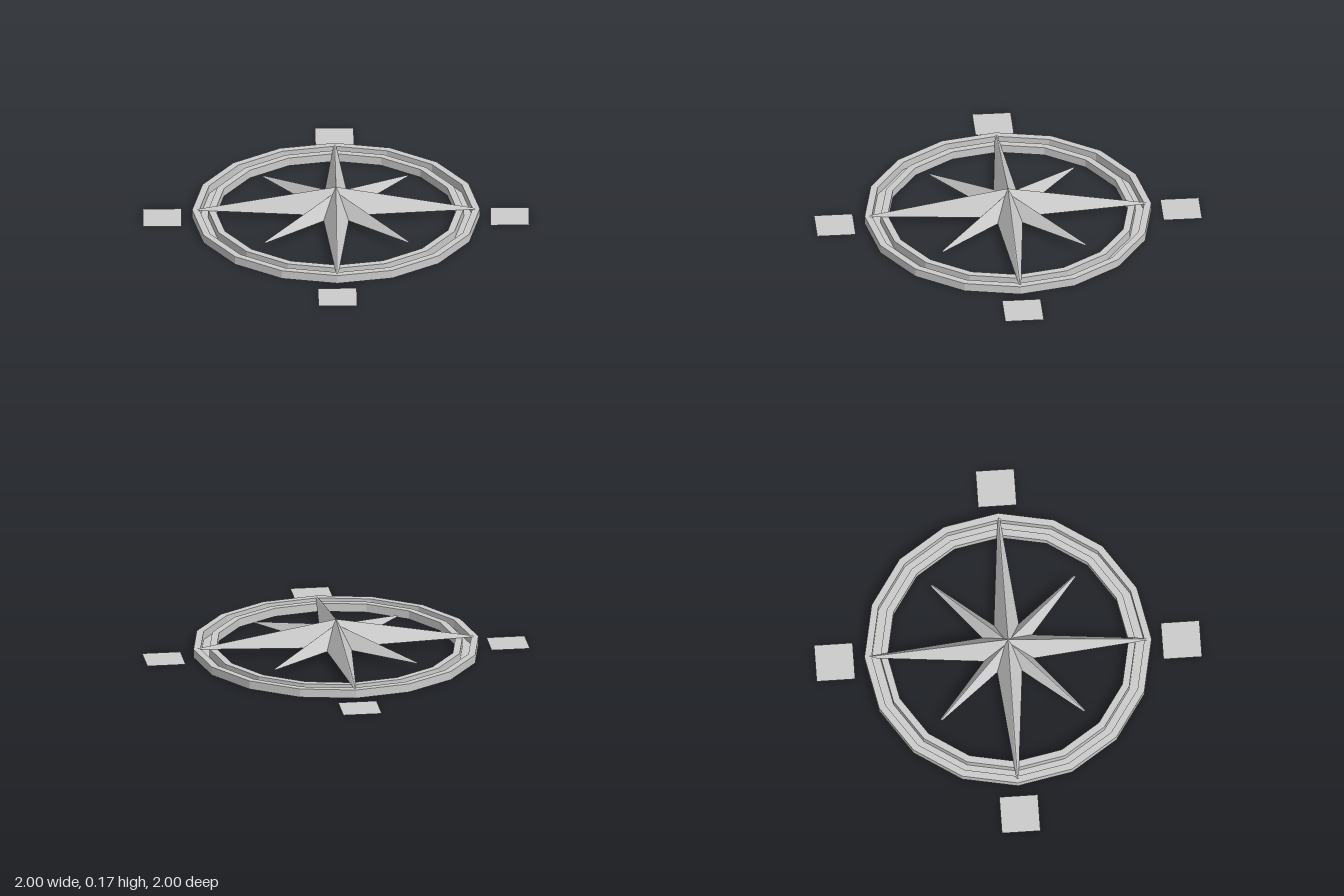
import * as THREE from 'three';

const BASE = 0.045; // height of the ring top and the star base

function material() {
  return new THREE.MeshStandardMaterial({ color: 0xcccccc, flatShading: true, side: THREE.DoubleSide });
}

// Four-pointed faceted star, open underneath, with slightly blunted tips
function starGeometry(length, apexHeight, inner, tipHalf) {
  const positions = [];
  const apex = new THREE.Vector3(0, apexHeight, 0);
  const add = (...points) => points.forEach((p) => positions.push(p.x, p.y, p.z));
  const up = new THREE.Vector3(0, 1, 0);
  for (let i = 0; i < 4; i++) {
    const at = (x, y, z) => new THREE.Vector3(x, y, z).applyAxisAngle(up, (i * Math.PI) / 2);
    const ridge = at(0, BASE + 0.004, length);
    const tipL = at(tipHalf, BASE, length), tipR = at(-tipHalf, BASE, length);
    const innerL = at(inner, BASE, inner), innerR = at(-inner, BASE, inner);
    add(apex, ridge, tipL, apex, tipL, innerL); // left flank
    add(apex, tipR, ridge, apex, innerR, tipR); // right flank
    add(ridge, tipR, tipL); // blunt end
  }
  const geometry = new THREE.BufferGeometry();
  geometry.setAttribute('position', new THREE.Float32BufferAttribute(positions, 3));
  geometry.computeVertexNormals();
  return geometry;
}

export function createModel() {
  const group = new THREE.Group();
  const add = (name, geometry) => {
    const mesh = new THREE.Mesh(geometry, material());
    mesh.name = name;
    group.add(mesh);
    return mesh;
  };

  // Sixteen-sided ring with a groove, open underneath its two raised bands
  const profile = [
    [0.745, 0], [0.745, BASE], [0.708, BASE], [0.708, 0],
    [0.662, 0], [0.662, BASE], [0.625, BASE], [0.625, 0],
  ].map(([r, y]) => new THREE.Vector2(r, y));
  add('groovedRing', new THREE.LatheGeometry(profile, 16));

  // Long star on the axes, shorter one on the diagonals
  add('mainStar', starGeometry(0.72, 0.175, 0.071, 0.006));
  add('diagonalStar', starGeometry(0.527, 0.147, 0.055, 0.006)).rotation.y = Math.PI / 4;

  // Flat square plates around the ring
  ['front', 'left', 'back', 'right'].forEach((side, i) => {
    const angle = (i * Math.PI) / 2;
    const plate = add(side + 'Plate', new THREE.PlaneGeometry(0.2, 0.2).rotateX(-Math.PI / 2));
    plate.position.set(0.9 * Math.sin(angle), 0, 0.9 * Math.cos(angle));
  });

  return group;
}
